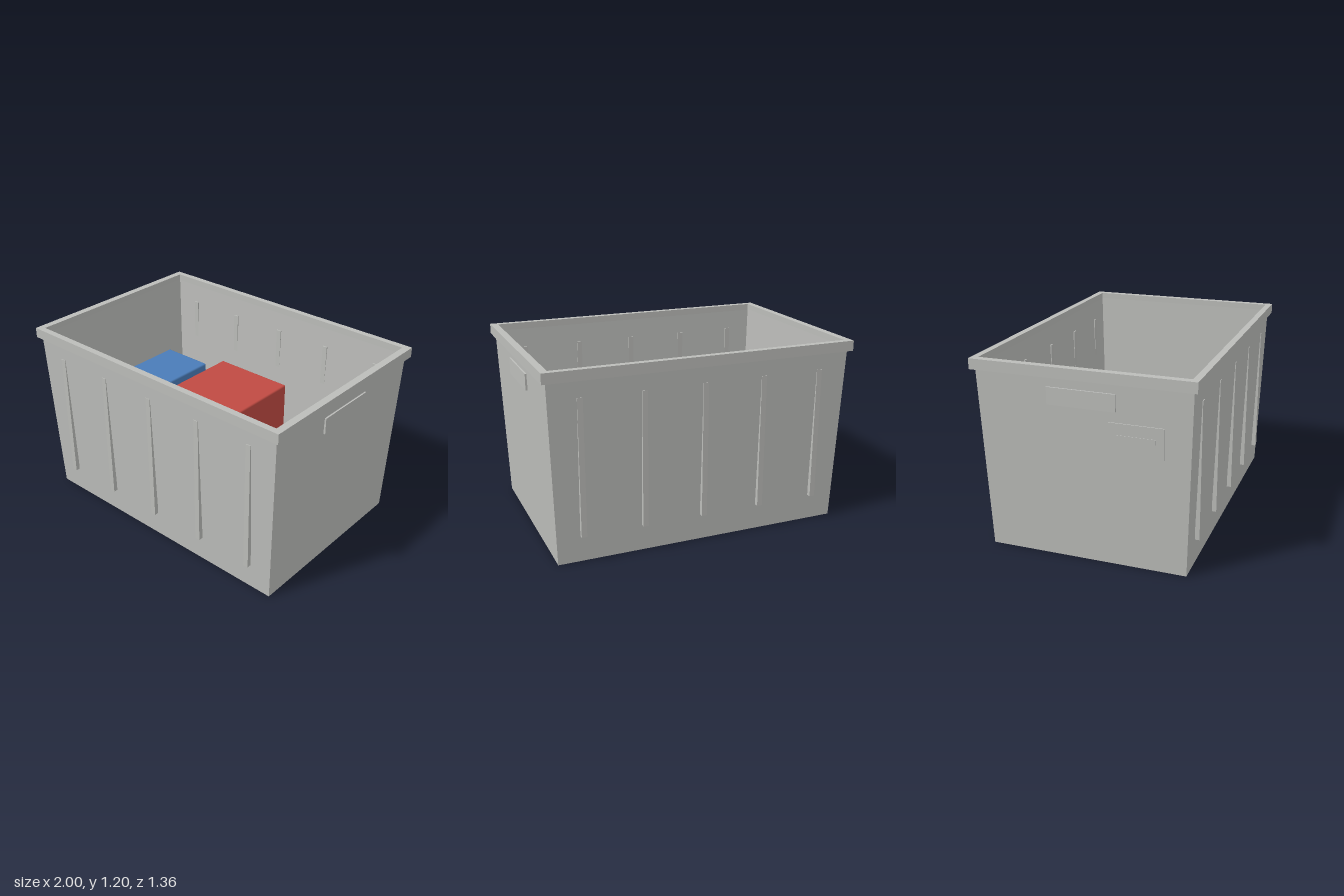
import * as THREE from 'three';
import { RoundedBoxGeometry } from 'three/addons/geometries/RoundedBoxGeometry.js';

const CORNERS = [[1, 1], [1, -1], [-1, -1], [-1, 1]];

// Flat-sided shell through rectangular loops given as [half x, half z, y]
function rectLoft(loops) {
  const pos = [];
  const point = ([hx, hz, y], k) => [CORNERS[k % 4][0] * hx, y, CORNERS[k % 4][1] * hz];
  for (let i = 0; i < loops.length - 1; i++) {
    for (let k = 0; k < 4; k++) {
      const a = point(loops[i], k), b = point(loops[i], k + 1);
      const c = point(loops[i + 1], k + 1), d = point(loops[i + 1], k);
      pos.push(...a, ...b, ...c, ...a, ...c, ...d);
    }
  }
  const geo = new THREE.BufferGeometry();
  geo.setAttribute('position', new THREE.Float32BufferAttribute(pos, 3));
  geo.computeVertexNormals();
  return geo;
}

export function createModel() {
  const group = new THREE.Group();
  const mat = (name, color) => {
    const m = new THREE.MeshStandardMaterial({ color });
    m.name = name;
    return m;
  };
  const grey = mat('bin grey', 0xbbbcb9);
  const red = mat('red', 0xc04a42);
  const blue = mat('blue', 0x4a7cb8);
  const yellow = mat('yellow', 0xc9b64c);

  const add = (name, geo, material, x = 0, y = 0, z = 0, parent = group) => {
    const mesh = new THREE.Mesh(geo, material);
    mesh.name = name;
    mesh.position.set(x, y, z);
    parent.add(mesh);
    return mesh;
  };

  // Tapered open bin: underside, outer walls, inner walls, floor
  add('binBody', rectLoft([
    [0, 0, 0], [0.935, 0.62, 0], [0.974, 0.656, 1.19],
    [0.955, 0.64, 1.19], [0.915, 0.606, 0.04], [0, 0, 0.04],
  ]), grey);

  // Overhanging rim
  add('rim', rectLoft([
    [0.954, 0.639, 1.135], [1, 0.68, 1.135], [1, 0.68, 1.2],
    [0.954, 0.639, 1.2], [0.954, 0.639, 1.135],
  ]), grey);

  // Upright ribs on the long walls, showing slightly through inside
  const ribGeo = new THREE.BoxGeometry(0.034, 0.86, 0.028);
  for (const side of [1, -1]) {
    for (let i = -2; i <= 2; i++) add('rib', ribGeo, grey, i * 0.389, 0.6, side * 0.641);
  }

  // Grip blocks on the short walls
  const gripGeo = new THREE.BoxGeometry(0.018, 0.104, 0.414);
  for (const side of [1, -1]) add('grip', gripGeo, grey, side * 0.971, 1.022, 0);

  // Label holder lying on the sloped right wall
  const label = new THREE.Group();
  label.name = 'labelHolder';
  label.position.set(-0.963, 0.81, 0.325);
  label.rotation.z = 0.033;
  group.add(label);
  add('labelPlate', new THREE.BoxGeometry(0.009, 0.19, 0.33), grey, 0, 0, 0, label);
  add('labelInset', new THREE.BoxGeometry(0.006, 0.05, 0.23), grey, -0.004, 0, 0, label);

  // Boxes standing on the floor: [name, material, x0, x1, z0, z1, top]
  const contents = [
    ['blueBox', blue, -0.88, -0.505, -0.43, 0.587, 0.68],
    ['redBox', red, -0.472, 0.118, -0.58, 0.53, 0.66],
    ['yellowBox', yellow, 0.152, 0.545, -0.198, 0.347, 0.42],
  ];
  for (const [name, material, x0, x1, z0, z1, top] of contents) {
    const h = top - 0.04;
    add(name, new RoundedBoxGeometry(x1 - x0, h, z1 - z0, 2, 0.012), material,
      (x0 + x1) / 2, 0.04 + h / 2, (z0 + z1) / 2);
  }
  return group;
}
